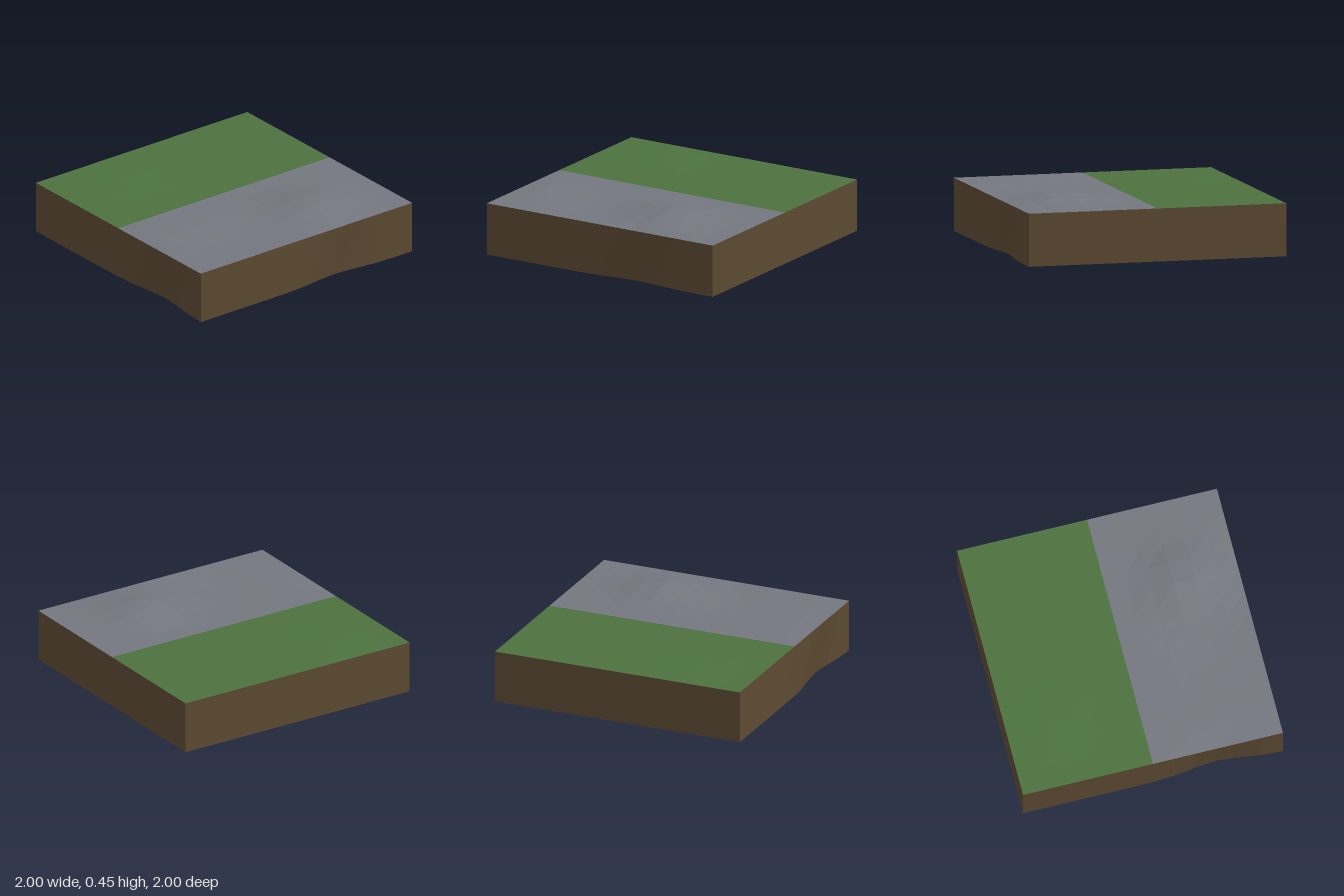
import * as THREE from 'three';

const TOP = 0.4;
const STEP = 1 / 6;

const bump = (x, z, cx, cz, sx, sz) =>
  Math.exp(-(((x - cx) / sx) ** 2) - ((z - cz) / sz) ** 2);

// zero on the outer rim and one inside, so the rim stays level
const rim = (x, z) => (Math.max(Math.abs(x), Math.abs(z)) > 0.99 ? 0 : 1);

// upper terrain: one rocky hill, a hollow and faint swells
function topPoint(x, z) {
  const h = 0.06 * bump(x, z, 0.58, -0.37, 0.26, 0.27)
    - 0.018 * bump(x, z, 0.64, 0.33, 0.25, 0.25)
    + 0.012 * bump(x, z, 0.38, 0.83, 0.25, 0.2)
    + 0.007 * bump(x, z, -0.67, 0.5, 0.25, 0.25);
  return [x, TOP + h * rim(x, z), z];
}

// underside: a dent, with the lower rim drawn in on two sides
function bottomPoint(x, z) {
  const dent = 0.05 * bump(x, z, 0.5, -0.35, 0.2, 0.2) * rim(x, z);
  const px = x > 0.99 ? x - 0.045 * bump(0, z, 0, -0.3, 1, 0.27) : x;
  const pz = z > 0.99 ? z - 0.05 * bump(x, 0, 0.5, 0, 0.27, 1) : z;
  return [px, dent, pz];
}

// faceted grid whose corners are placed by a rule
function sheet(name, material, u0, u1, v0, v1, vSegments, place) {
  const uSegments = Math.round((u1 - u0) / STEP);
  const grid = new THREE.PlaneGeometry(u1 - u0, v1 - v0, uSegments, vSegments);
  const p = grid.attributes.position;
  for (let i = 0; i < p.count; i++) {
    p.setXYZ(i, ...place(p.getX(i) + (u0 + u1) / 2, p.getY(i) + (v0 + v1) / 2));
  }
  const geometry = grid.toNonIndexed();
  geometry.computeVertexNormals();
  const mesh = new THREE.Mesh(geometry, material);
  mesh.name = name;
  return mesh;
}

export function createModel() {
  const group = new THREE.Group();
  group.name = 'terrainTile';
  const make = (name, color) => {
    const m = new THREE.MeshStandardMaterial({ color });
    m.name = name;
    return m;
  };
  const grass = make('grass', 0x4d7240);
  const stone = make('stone', 0x74777f);
  const earth = make('earth', 0x5c4a32);

  // grass half and stone half, above and below
  for (const [name, material, x0, x1] of [['grass', grass, -1, 0], ['stone', stone, 0, 1]]) {
    group.add(sheet(name + 'Top', material, x0, x1, -1, 1, 12, (u, v) => topPoint(u, -v)));
    group.add(sheet(name + 'Underside', material, x0, x1, -1, 1, 12, (u, v) => bottomPoint(u, v)));
  }

  // earth walls join the upper rim to the lower rim
  const walls = {
    frontWall: (u) => [u, 1],
    backWall: (u) => [-u, -1],
    leftWall: (u) => [1, -u],
    rightWall: (u) => [-1, u],
  };
  for (const [name, edge] of Object.entries(walls)) {
    group.add(sheet(name, earth, -1, 1, 0, TOP, 1, (u, v) => {
      const [x, z] = edge(u);
      return v > TOP / 2 ? topPoint(x, z) : bottomPoint(x, z);
    }));
  }
  return group;
}
